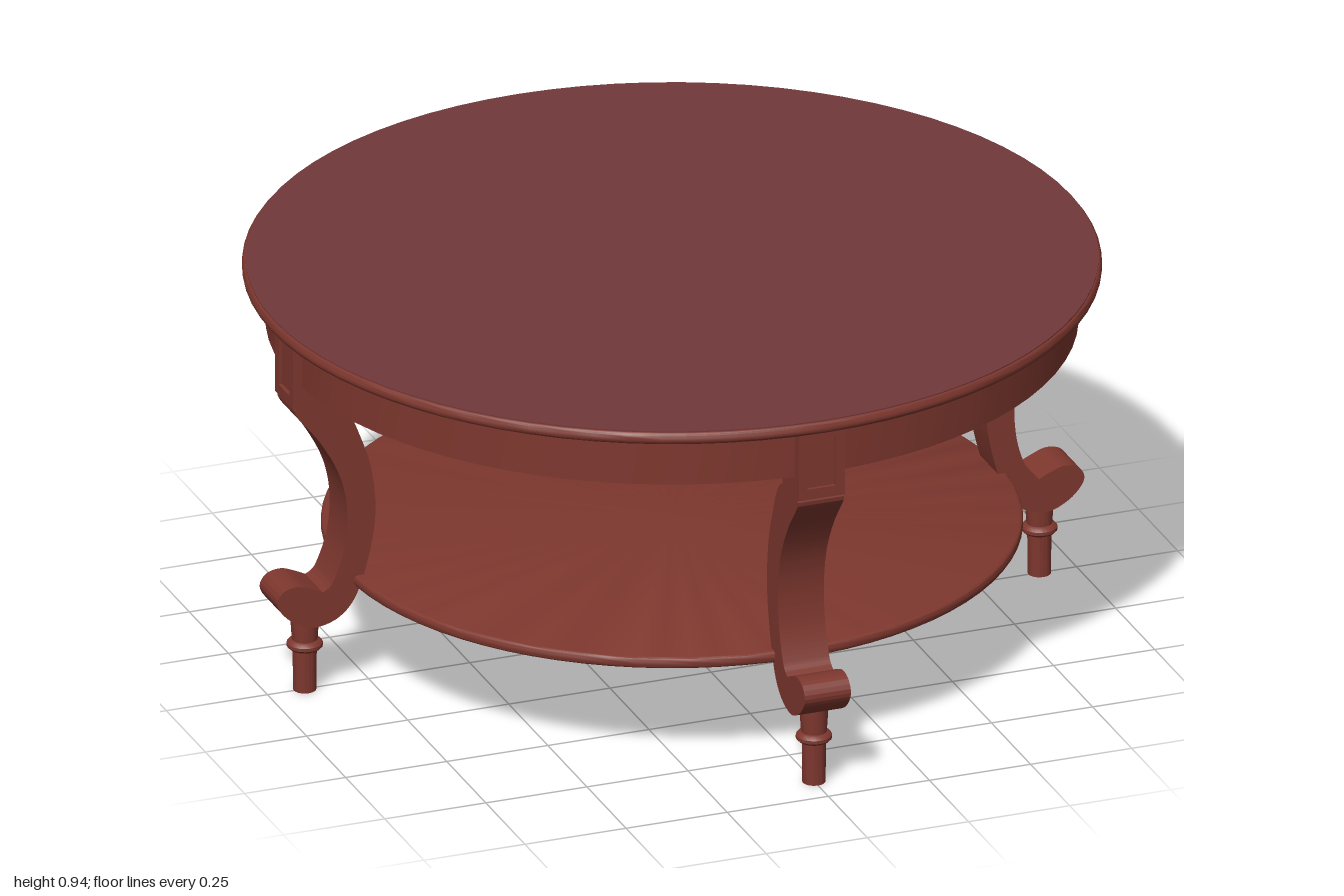
import * as THREE from 'three';
import { toCreasedNormals } from 'three/addons/utils/BufferGeometryUtils.js';

const wood = new THREE.MeshStandardMaterial({ color: 0x7d372e });
wood.name = 'reddish wood';
const topWood = new THREE.MeshStandardMaterial({ color: 0x713839 });
topWood.name = 'table top wood';

const v2 = (points) => points.map(([x, y]) => new THREE.Vector2(x, y));

function add(parent, name, geometry, material = wood) {
  const mesh = new THREE.Mesh(geometry, material);
  mesh.name = name;
  parent.add(mesh);
  return mesh;
}

// Turned part from a bottom-to-top (radius, height) profile
const turned = (points, sides) =>
  toCreasedNormals(new THREE.LatheGeometry(v2(points), sides), 0.6);

// Disc with a rounded rim
function roundedDisc(radius, y0, y1, sides, bevel) {
  const pts = [[0, y0]];
  for (let i = 0; i <= 4; i++) {
    const a = -Math.PI / 2 + (i / 4) * (Math.PI / 2);
    pts.push([radius - bevel + Math.cos(a) * bevel, y0 + bevel + Math.sin(a) * bevel]);
  }
  for (let i = 0; i <= 4; i++) {
    const a = (i / 4) * (Math.PI / 2);
    pts.push([radius - bevel + Math.cos(a) * bevel, y1 - bevel + Math.sin(a) * bevel]);
  }
  pts.push([0, y1]);
  return turned(pts, sides);
}

// S-curved leg outline, x = distance from the table's axis
function legGeometry(width) {
  const shape = new THREE.Shape();
  shape.moveTo(0.855, 0.915);
  shape.lineTo(0.855, 0.74);
  shape.splineThru(v2([
    [0.825, 0.715], [0.797, 0.655], [0.766, 0.56], [0.755, 0.45], [0.77, 0.345],
    [0.802, 0.245], [0.845, 0.195], [0.905, 0.178], [0.955, 0.197], [0.988, 0.228],
    [0.997, 0.255], [0.98, 0.28], [0.945, 0.287], [0.91, 0.275], [0.885, 0.263],
  ]));
  shape.splineThru(v2([
    [0.86, 0.285], [0.832, 0.365], [0.825, 0.46], [0.843, 0.55], [0.89, 0.64], [0.948, 0.715], [0.95, 0.737],
  ]));
  shape.lineTo(0.95, 0.915);
  const geometry = new THREE.ExtrudeGeometry(shape, { depth: width, bevelEnabled: false, curveSegments: 40 });
  geometry.translate(0, 0, -width / 2);
  return toCreasedNormals(geometry, 0.6);
}

// Flat frame around the recessed panel on the leg block, facing +x
function panelFrameGeometry(width) {
  const w = width / 2, hw = 0.035;
  const shape = new THREE.Shape(v2([[-w, 0.737], [w, 0.737], [w, 0.91], [-w, 0.91]]));
  shape.holes.push(new THREE.Path(v2([[-hw, 0.763], [-hw, 0.886], [hw, 0.886], [hw, 0.763]])));
  const geometry = new THREE.ExtrudeGeometry(shape, { depth: 0.009, bevelEnabled: false });
  geometry.rotateY(Math.PI / 2);
  geometry.translate(0.95, 0, 0);
  return geometry;
}

export function createModel() {
  const table = new THREE.Group();
  table.name = 'roundTable';

  // Top, apron and lower shelf
  add(table, 'topRim', roundedDisc(0.992, 0.912, 0.943, 80, 0.012));
  const surface = add(table, 'topSurface', new THREE.CylinderGeometry(0.984, 0.984, 0.004, 80), topWood);
  surface.position.y = 0.943;
  add(table, 'apron', toCreasedNormals(new THREE.CylinderGeometry(0.938, 0.938, 0.125, 80), 0.6))
    .position.y = 0.8525;
  add(table, 'lowerShelf', roundedDisc(0.81, 0.265, 0.293, 80, 0.01));

  // Four identical legs
  const width = 0.114;
  const legGeo = legGeometry(width);
  const frameGeo = panelFrameGeometry(width);
  const footGeo = turned([
    [0, 0], [0.027, 0], [0.028, 0.103], [0.036, 0.105], [0.042, 0.111], [0.042, 0.119],
    [0.036, 0.126], [0.03, 0.128], [0.033, 0.175], [0.033, 0.195], [0, 0.195],
  ], 20);
  for (let i = 0; i < 4; i++) {
    const leg = new THREE.Group();
    leg.name = 'leg' + (i + 1);
    add(leg, 'curvedLeg', legGeo);
    add(leg, 'panelFrame', frameGeo);
    add(leg, 'turnedFoot', footGeo).position.x = 0.908;
    leg.rotation.y = (i * Math.PI) / 2;
    table.add(leg);
  }
  return table;
}
